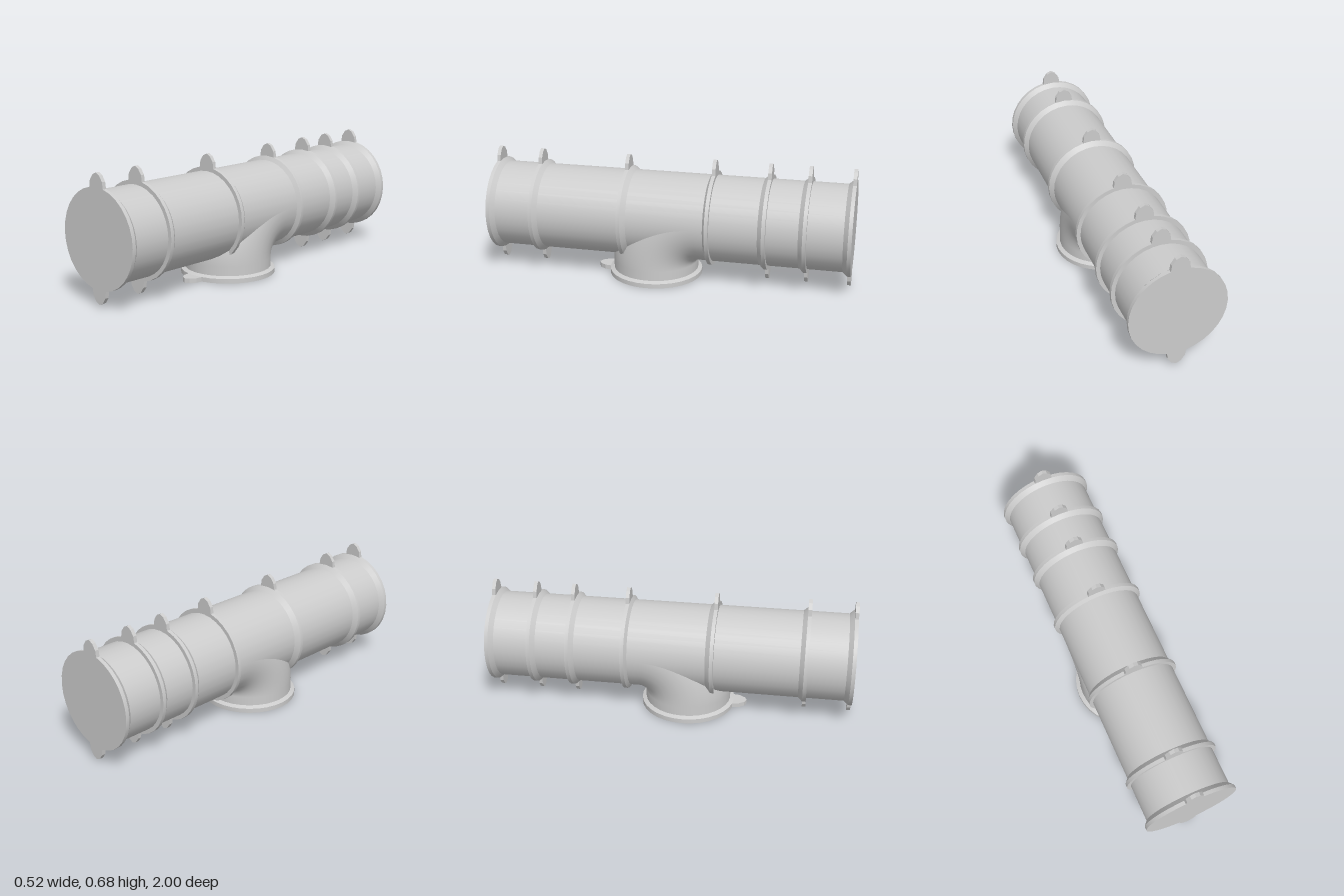
import * as THREE from 'three';
import { toCreasedNormals } from 'three/addons/utils/BufferGeometryUtils.js';

const PIPE_R = 0.238, FLANGE_R = 0.26, AXIS_Y = 0.345, SIDES = 32;
const BRANCH_Z = 0.092, BEND_R = 0.26;

const material = new THREE.MeshStandardMaterial({ color: 0xcccccc });

function part(name, geometry, parent) {
  const mesh = new THREE.Mesh(geometry, material);
  mesh.name = name;
  parent.add(mesh);
  return mesh;
}

// Disc outline with a rounded lug at the top and, optionally, at the bottom
function plateGeometry(depth, bottomLug) {
  const lug = [[0.051, 0.255], [0.046, 0.29], [0.025, 0.32], [0, 0.332],
    [-0.025, 0.32], [-0.046, 0.29], [-0.051, 0.255]];
  const points = [];
  for (let i = 0; i < SIDES; i++) {
    const a = (i / SIDES) * Math.PI * 2;
    if (i === SIDES / 4 - 1 || i === SIDES / 4 + 1) continue;
    if (i === SIDES / 4) {
      lug.forEach(([x, y]) => points.push(new THREE.Vector2(x, y)));
      continue;
    }
    if (bottomLug && Math.abs(i - SIDES * 0.75) === 1) continue;
    if (bottomLug && i === SIDES * 0.75) {
      lug.forEach(([x, y]) => points.push(new THREE.Vector2(-x, -y)));
      continue;
    }
    points.push(new THREE.Vector2(Math.cos(a) * FLANGE_R, Math.sin(a) * FLANGE_R));
  }
  const geo = new THREE.ExtrudeGeometry(new THREE.Shape(points), { depth, bevelEnabled: false });
  return toCreasedNormals(geo, 0.3);
}

export function createModel() {
  const model = new THREE.Group();
  model.name = 'pipeTee';

  // Main pipe along z
  const pipe = new THREE.CylinderGeometry(PIPE_R, PIPE_R, 1.98, SIDES, 1, true).rotateX(Math.PI / 2);
  part('mainPipe', pipe, model).position.y = AXIS_Y;

  // Flanges: centre z, chamfer direction, chamfer length, lower lug
  const flanges = [
    [0.99, -1, 0.024, true], [0.744, -1, 0.024, true], [0.244, -1, 0.026, false],
    [-0.239, 1, 0.014, false], [-0.543, 1, 0.024, true], [-0.757, 1, 0.024, true],
    [-0.99, 1, 0.024, true],
  ];
  const thick = 0.02;
  for (const [z, dir, chamfer, bottomLug] of flanges) {
    const flange = new THREE.Group();
    flange.name = 'flange';
    flange.position.set(0, AXIS_Y, z);
    part('flangePlate', plateGeometry(thick, bottomLug), flange).position.z = -thick / 2;
    const cone = new THREE.CylinderGeometry(
      dir > 0 ? PIPE_R : FLANGE_R, dir > 0 ? FLANGE_R : PIPE_R, chamfer, SIDES, 1, true);
    part('flangeChamfer', cone.rotateX(Math.PI / 2), flange).position.z = dir * (thick + chamfer) / 2;
    model.add(flange);
  }

  // Branch: short riser, then a quarter bend that merges into the main pipe
  const branch = new THREE.Group();
  branch.name = 'branch';
  branch.position.z = BRANCH_Z;
  model.add(branch);
  const bendY = AXIS_Y - BEND_R;
  const riser = new THREE.CylinderGeometry(PIPE_R, PIPE_R, bendY - 0.02, SIDES, 1, true);
  part('branchRiser', riser, branch).position.y = (bendY + 0.02) / 2;
  const bend = new THREE.TorusGeometry(BEND_R, PIPE_R, SIDES, 20, Math.PI / 2).rotateY(-Math.PI / 2);
  part('branchBend', bend, branch).position.set(0, bendY, -BEND_R);

  // Branch flange with its single lug towards the front
  const plate = plateGeometry(0.025, false).rotateX(Math.PI / 2);
  part('branchFlangePlate', plate, branch).position.y = 0.025;
  const collar = new THREE.CylinderGeometry(PIPE_R, FLANGE_R, 0.01, SIDES, 1, true);
  part('branchFlangeChamfer', collar, branch).position.y = 0.03;

  return model;
}
